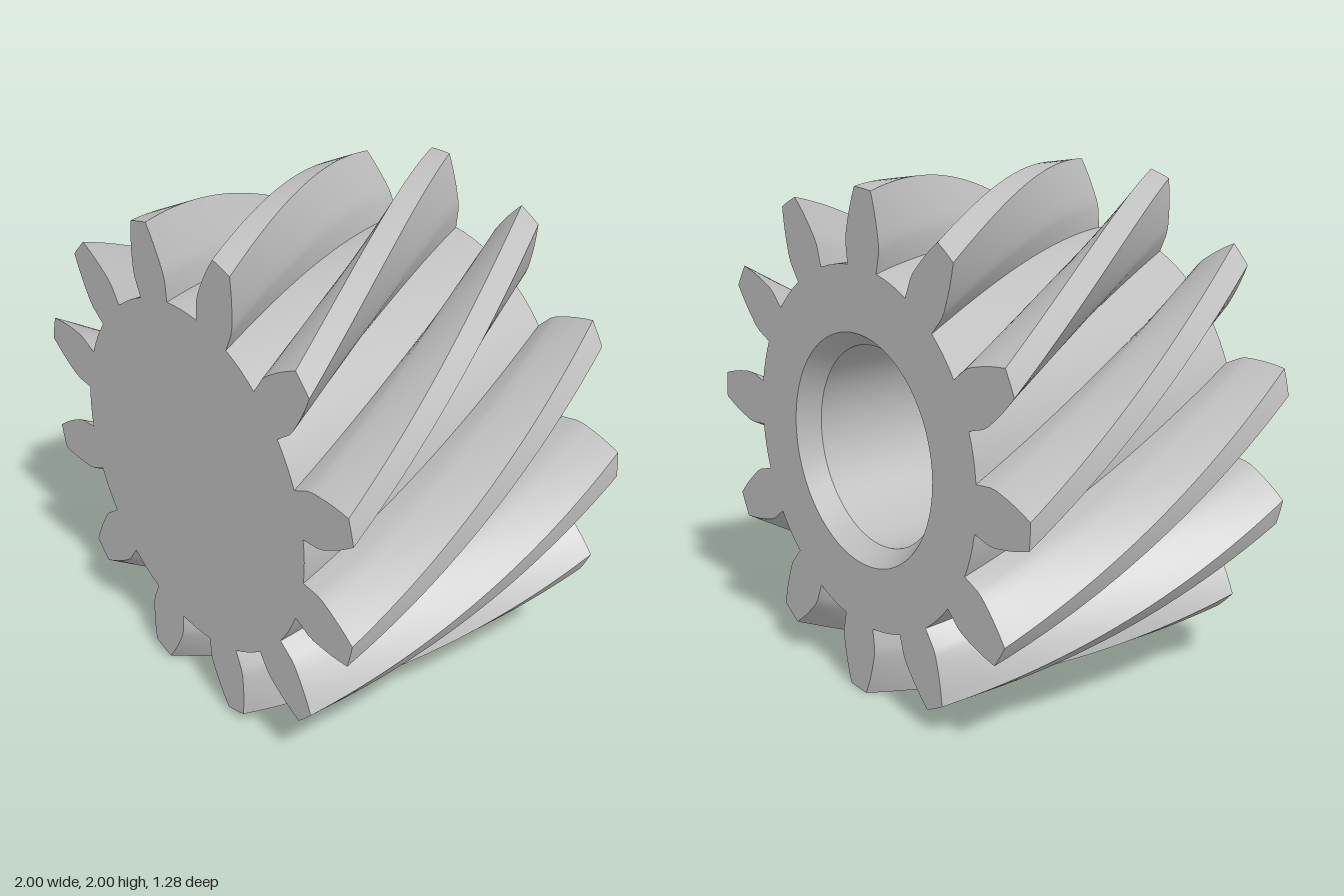
import * as THREE from 'three';
import { toCreasedNormals } from 'three/addons/utils/BufferGeometryUtils.js';

const TEETH = 12;
const HALF = 0.64; // half the face width
const TWIST = THREE.MathUtils.degToRad(48); // helix turn, front to back
const STEPS = 32;

// One side of a tooth gap: [radius, degrees from the gap centre]
const FLANK = [[0.71, 7.5], [0.79, 7.25], [0.82, 7.6], [0.855, 8.4], [0.89, 9.2], [0.925, 10.05], [0.96, 10.95], [1, 12]];

// Closed, counter-clockwise gear outline turned by an angle
function gearOutline(turn) {
  const points = [];
  const add = (r, degrees) => {
    const a = THREE.MathUtils.degToRad(degrees) + turn;
    points.push(new THREE.Vector2(r * Math.cos(a), r * Math.sin(a)));
  };
  for (let i = 0; i < TEETH; i++) {
    const gap = (i * 360) / TEETH;
    for (const [r, d] of [...FLANK].reverse()) add(r, gap - d);
    for (const d of [-3.75, 0, 3.75]) add(0.71, gap + d); // root
    for (const [r, d] of FLANK) add(r, gap + d);
    for (const d of [14, 16]) add(1, gap + d); // tip
  }
  return points;
}

// Twisted side surface through successive outlines
function helicalSides() {
  const pos = [], index = [];
  const n = gearOutline(0).length;
  for (let k = 0; k <= STEPS; k++) {
    const t = k / STEPS;
    for (const p of gearOutline((1 - t) * TWIST)) pos.push(p.x, p.y, -HALF + 2 * HALF * t);
  }
  for (let k = 0; k < STEPS; k++) {
    for (let i = 0; i < n; i++) {
      const j = (i + 1) % n;
      const a = k * n + i, b = k * n + j, c = b + n, d = a + n;
      index.push(a, b, c, a, c, d);
    }
  }
  const g = new THREE.BufferGeometry();
  g.setAttribute('position', new THREE.Float32BufferAttribute(pos, 3));
  g.setIndex(index);
  return toCreasedNormals(g, 0.6);
}

export function createModel() {
  const steel = new THREE.MeshStandardMaterial({ color: 0xbfbfbf });
  steel.name = 'grey steel';
  const model = new THREE.Group();
  model.name = 'helicalGear';
  const gear = new THREE.Group();
  gear.name = 'gearBody';
  gear.position.y = 1;
  model.add(gear);

  const add = (name, geometry) => {
    const mesh = new THREE.Mesh(geometry, steel);
    mesh.name = name;
    gear.add(mesh);
  };

  add('helicalTeeth', helicalSides());

  // Solid front face
  add('frontFace', new THREE.ShapeGeometry(new THREE.Shape(gearOutline(0))).translate(0, 0, HALF));

  // Back face with the bore opening, mirrored first because it is turned around
  const back = new THREE.Shape(gearOutline(TWIST).map((p) => new THREE.Vector2(-p.x, p.y)));
  back.holes.push(new THREE.Path().absarc(0, 0, 0.455, 0, Math.PI * 2, true));
  add('backFace', new THREE.ShapeGeometry(back, 32).rotateY(Math.PI).translate(0, 0, -HALF));

  // Blind bore with a chamfered mouth
  const bore = [[0, 0.5], [0.395, 0.5], [0.395, -HALF + 0.08], [0.455, -HALF]];
  const lathe = new THREE.LatheGeometry(bore.map(([r, z]) => new THREE.Vector2(r, z)), 64);
  add('bore', toCreasedNormals(lathe.rotateX(Math.PI / 2), 0.5));

  return model;
}
